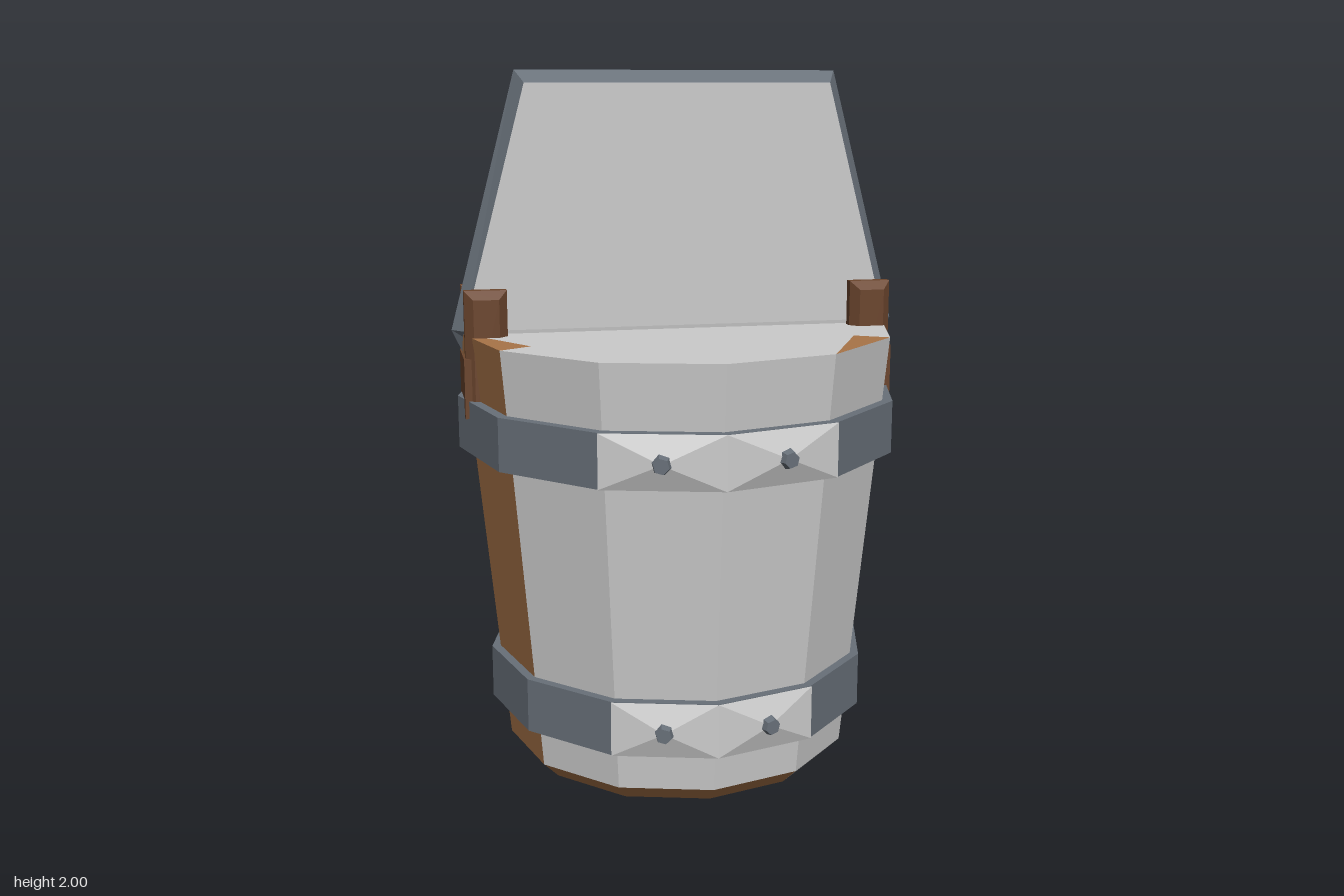
import * as THREE from 'three';

const mat = (color) => new THREE.MeshStandardMaterial({ color, flatShading: true });
const GREY = mat(0xcccccc), WOOD = mat(0xa87448), DARK = mat(0x6b452d), METAL = mat(0x687079);

// point on a ring, k counts twelfths of a turn from +x towards +z
const ring = (k, r, y) => [r * Math.cos(k * Math.PI / 6), y, r * Math.sin(k * Math.PI / 6)];

// flat-faced mesh from convex polygons (counter-clockwise corners)
function facets(name, polys, material) {
  const pos = [];
  for (const p of polys)
    for (let i = 1; i < p.length - 1; i++) pos.push(...p[0], ...p[i], ...p[i + 1]);
  const g = new THREE.BufferGeometry();
  g.setAttribute('position', new THREE.Float32BufferAttribute(pos, 3));
  g.computeVertexNormals();
  const m = new THREE.Mesh(g, material);
  m.name = name;
  return m;
}

const wall = (k, r0, y0, r1, y1) =>
  [ring(k + 1, r0, y0), ring(k, r0, y0), ring(k, r1, y1), ring(k + 1, r1, y1)];

// tapered body of twelve staves with a bevelled foot and a closed top
function bucket() {
  const g = new THREE.Group();
  g.name = 'bucket';
  const R = 0.628, I = 0.525, T = 1.27;
  const brownStaves = [0, 5, 7, 8], brownFoot = [2, 3, 4, 8, 11];
  const brownOuter = [5, 6, 9], brownRim = [1];
  const grey = [], brown = [], base = [], topGrey = [], topBrown = [];
  for (let k = 0; k < 12; k++) {
    (brownStaves.includes(k) ? brown : grey).push(wall(k, 0.51, 0.05, R, T));
    (brownFoot.includes(k) ? brown : grey).push(wall(k, 0.46, 0, 0.51, 0.05));
    base.push([[0, 0, 0], ring(k, 0.46, 0), ring(k + 1, 0.46, 0)]);
    topGrey.push([[0, T, 0], ring(k + 1, I, T), ring(k, I, T)]);
    // rim strip, its diagonal running either way
    const a = ring(k, I, T), b = ring(k + 1, I, T), c = ring(k + 1, R, T), d = ring(k, R, T);
    if (k === 5) {
      topBrown.push([b, c, d].map((p) => p === b ? a : p));
      topGrey.push([a, b, c]);
    } else {
      const inner = k === 6 || k === 9 || k === 1 ? a : b;
      (brownOuter.includes(k) || brownRim.includes(k) ? topBrown : topGrey).push([inner, c, d]);
      topGrey.push(inner === a ? [a, b, c] : [a, b, d]);
    }
  }
  g.add(facets('greyStaves', grey, GREY), facets('woodStaves', brown, WOOD),
    facets('base', base, GREY), facets('lid', topGrey, GREY), facets('lidPatches', topBrown, WOOD));
  return g;
}

// metal hoop with a riveted joint plate on the front
function hoop(name, r, rIn, y0, y1) {
  const g = new THREE.Group();
  g.name = name;
  const profile = [[rIn, y0], [r, y0], [r, y1], [rIn, y1], [rIn, y0]].map((p) => new THREE.Vector2(...p));
  const band = new THREE.Mesh(new THREE.LatheGeometry(profile, 12), METAL);
  band.name = 'band';
  g.add(band);
  const ym = (y0 + y1) / 2, plate = [];
  for (const k of [2, 3]) {
    const c = wall(k, r + 0.004, y0, r + 0.004, y1), peak = ring(k + 0.5, r + 0.012, ym);
    for (let i = 0; i < 4; i++) plate.push([c[i], c[(i + 1) % 4], peak]);
    const rivet = new THREE.Mesh(new THREE.CylinderGeometry(0.022, 0.035, 0.05, 6), METAL);
    rivet.name = 'rivet';
    rivet.position.set(...ring(k + 0.5, r, ym));
    rivet.quaternion.setFromUnitVectors(new THREE.Vector3(0, 1, 0), new THREE.Vector3(...ring(k + 0.5, 1, 0)));
    g.add(rivet);
  }
  g.add(facets('jointPlate', plate, GREY));
  return g;
}

// box with chamfered edges
function chamferBox(name, w, h, d, b, material) {
  const x = w / 2 - b, y = h / 2 - b;
  const s = new THREE.Shape([[-x, -y], [x, -y], [x, y], [-x, y]].map((p) => new THREE.Vector2(...p)));
  const geo = new THREE.ExtrudeGeometry(s, {
    depth: d - 2 * b, bevelEnabled: true, bevelSegments: 1, bevelSize: b, bevelThickness: b,
  }).translate(0, 0, b - d / 2);
  const m = new THREE.Mesh(geo, material);
  m.name = name;
  return m;
}

// forked bracket: two prongs on a backing board
function bracket(side) {
  const g = new THREE.Group();
  g.name = side > 0 ? 'leftBracket' : 'rightBracket';
  for (const s of [1, -1]) {
    const prong = chamferBox('prong', 0.12, 0.36, 0.075, 0.024, DARK);
    prong.position.set(side * 0.56, 1.22, s * 0.066);
    g.add(prong);
  }
  const board = new THREE.Mesh(new THREE.BoxGeometry(0.07, 0.17, 0.19), DARK);
  board.name = 'board';
  board.position.set(side * 0.59, 1.125, 0);
  g.add(board);
  return g;
}

// upright handle plate: flat faces sloping to a sharp outer ridge
function handle() {
  const g = new THREE.Group();
  g.name = 'handle';
  const mid = [[0.652, 1.28, 0], [0.46, 2, 0], [-0.46, 2, 0], [-0.652, 1.28, 0], [-0.62, 1.21, 0], [0.62, 1.21, 0]];
  const front = [[0.62, 1.28, 0.038], [0.437, 1.965, 0.045], [-0.437, 1.965, 0.045],
    [-0.62, 1.28, 0.038], [-0.6, 1.25, 0.034], [0.6, 1.25, 0.034]];
  const back = front.map(([x, y, z]) => [x, y, -z]);
  const edge = [], n = mid.length;
  for (let i = 0; i < n; i++) {
    const j = (i + 1) % n;
    edge.push([mid[i], mid[j], front[j], front[i]], [mid[j], mid[i], back[i], back[j]]);
  }
  g.add(facets('plateFaces', [front, [...back].reverse()], GREY), facets('plateEdge', edge, METAL));
  return g;
}

export function createModel() {
  const model = new THREE.Group();
  model.name = 'bucketModel';
  model.add(
    bucket(),
    hoop('upperHoop', 0.64, 0.58, 0.94, 1.09),
    hoop('lowerHoop', 0.562, 0.51, 0.17, 0.325),
    bracket(1), bracket(-1),
    handle(),
  );
  return model;
}
